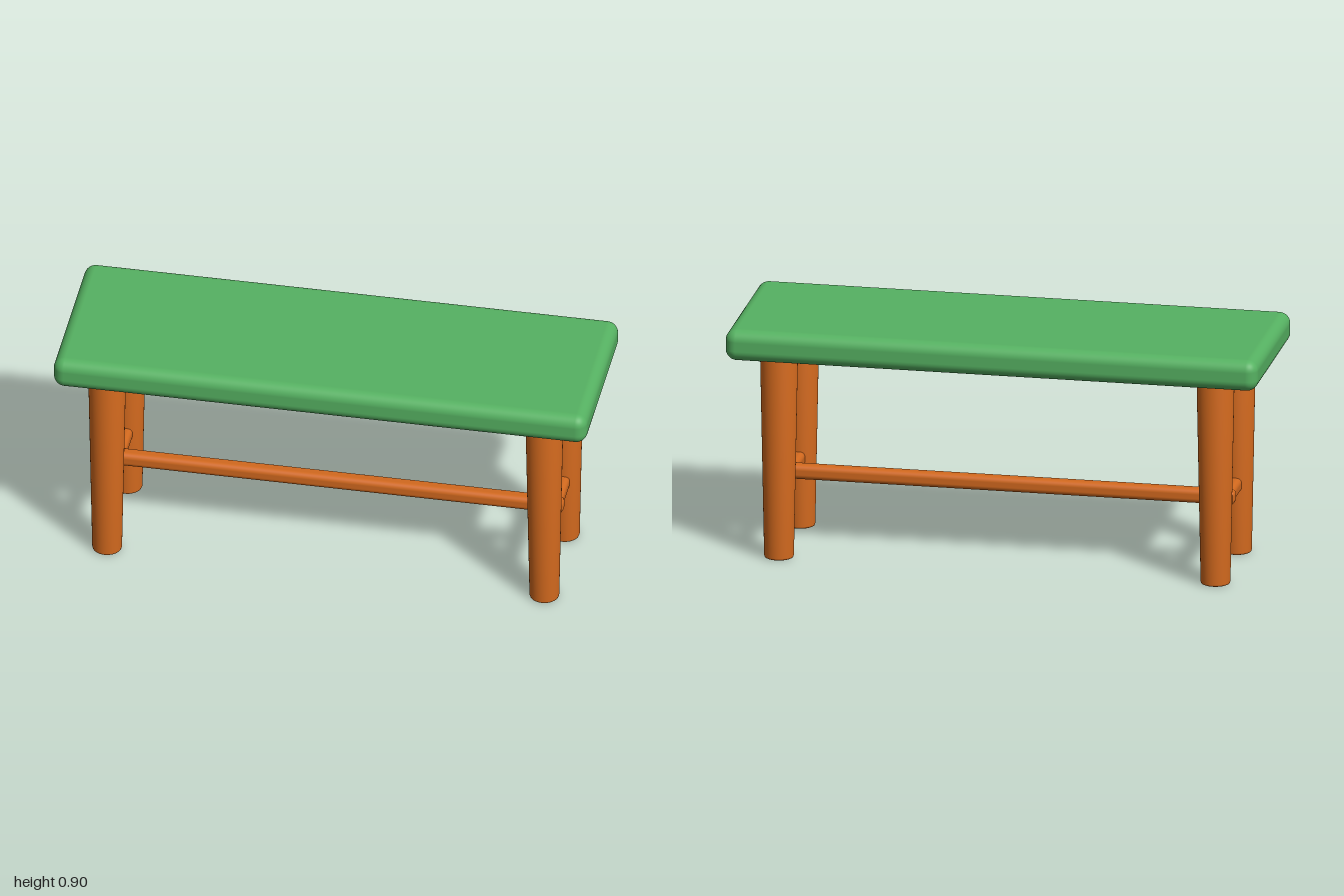
import * as THREE from 'three';
import { RoundedBoxGeometry } from 'three/addons/geometries/RoundedBoxGeometry.js';

export function createModel() {
  const bench = new THREE.Group();
  bench.name = 'bench';
  const green = new THREE.MeshStandardMaterial({ color: 0x56b262 });
  green.name = 'green seat';
  const wood = new THREE.MeshStandardMaterial({ color: 0xd2691e });
  wood.name = 'orange wood';

  const add = (name, geometry, material, x, y, z) => {
    const mesh = new THREE.Mesh(geometry, material);
    mesh.name = name;
    mesh.position.set(x, y, z);
    bench.add(mesh);
  };

  // Soft-edged seat slab
  add('seat', new RoundedBoxGeometry(2, 0.118, 0.676, 6, 0.042), green, 0, 0.841, 0);

  // Tapered round leg with a slightly eased foot
  const legProfile = [
    [0, 0], [0.049, 0], [0.053, 0.002], [0.055, 0.008], [0.07, 0.79], [0, 0.79],
  ].map(([r, y]) => new THREE.Vector2(r, y));
  const legGeometry = new THREE.LatheGeometry(legProfile, 40);

  // Side rail joining each pair of legs
  const sideRail = new RoundedBoxGeometry(0.056, 0.056, 0.34, 5, 0.02);

  for (const [side, sx] of [['left', 1], ['right', -1]]) {
    add(side + 'FrontLeg', legGeometry, wood, sx * 0.82, 0, 0.2);
    add(side + 'BackLeg', legGeometry, wood, sx * 0.82, 0, -0.2);
    add(side + 'SideRail', sideRail, wood, sx * 0.82, 0.272, 0);
  }

  // Long stretcher between the side rails, its ends just showing through
  add('longStretcher', new RoundedBoxGeometry(1.71, 0.056, 0.056, 5, 0.02), wood, 0, 0.272, 0);

  return bench;
}
